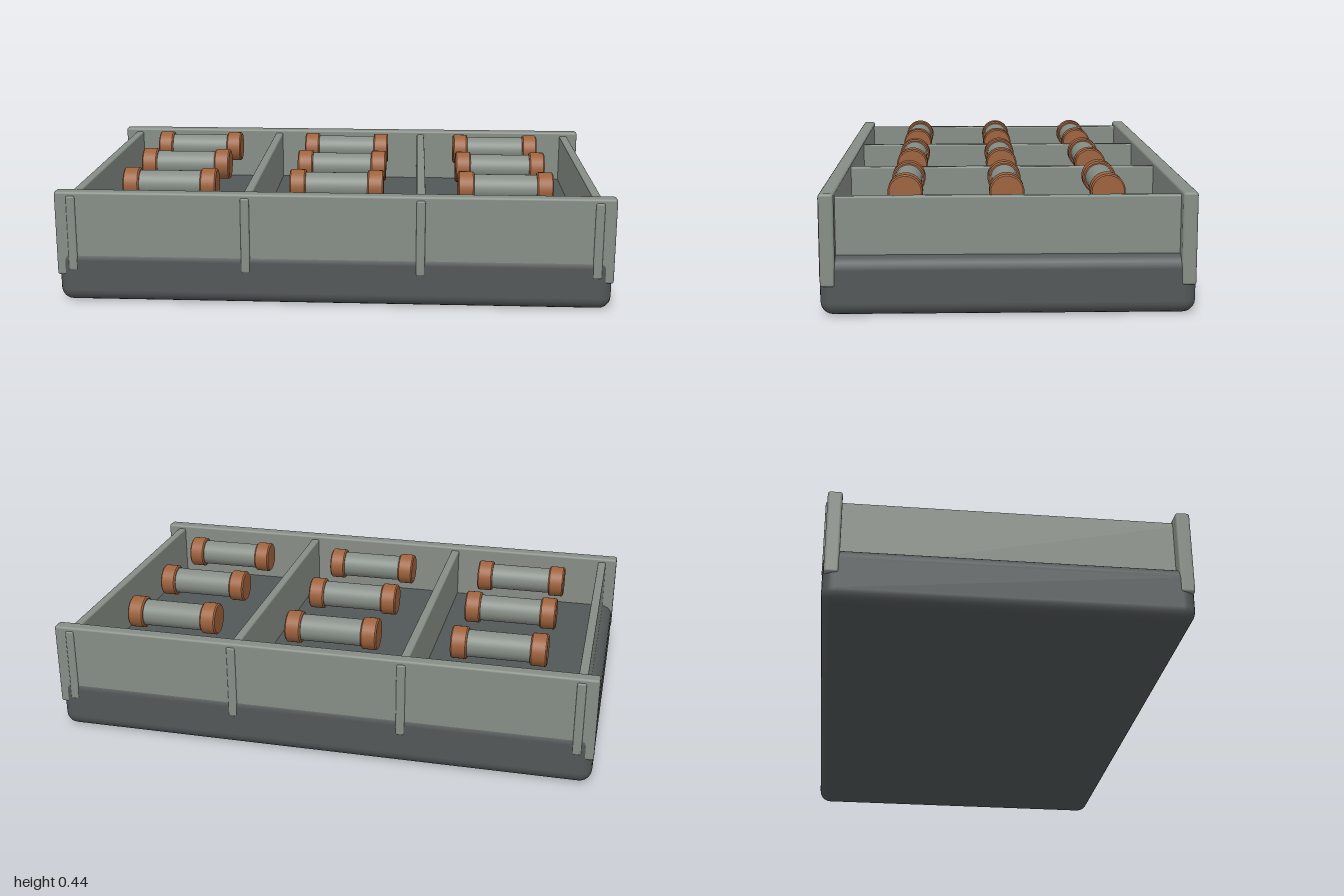
import * as THREE from 'three';
import { RoundedBoxGeometry } from 'three/addons/geometries/RoundedBoxGeometry.js';

const mat = (name, color) => {
  const m = new THREE.MeshStandardMaterial({ color });
  m.name = name;
  return m;
};

export function createModel() {
  const model = new THREE.Group();
  const darkGrey = mat('dark grey', 0x525757);
  const paleGrey = mat('pale grey', 0x868d86);
  const copper = mat('copper', 0x9e623d);

  const add = (parent, name, geometry, material, x, y, z) => {
    const mesh = new THREE.Mesh(geometry, material);
    mesh.name = name;
    mesh.position.set(x, y, z);
    parent.add(mesh);
    return mesh;
  };

  // Tray base with softened edges
  add(model, 'base', new RoundedBoxGeometry(1.994, 0.2, 1.244, 3, 0.045), darkGrey, 0, 0.1, 0);

  // Long front and back walls, overlapping the base
  const wall = new RoundedBoxGeometry(2, 0.31, 0.05, 2, 0.009);
  for (const s of [1, -1]) add(model, s > 0 ? 'frontWall' : 'backWall', wall, paleGrey, 0, 0.255, s * 0.593);

  // End panels and dividers, their ends showing as ribs on the long walls
  const divider = new RoundedBoxGeometry(0.032, 0.275, 1.248, 2, 0.006);
  for (const x of [-0.94, -0.3133, 0.3133, 0.94]) {
    add(model, Math.abs(x) > 0.5 ? 'endPanel' : 'divider', divider, paleGrey, x, 0.257, 0);
  }

  // Capped rods, three in each compartment
  const core = new THREE.CylinderGeometry(0.05, 0.05, 0.3, 32).rotateZ(Math.PI / 2);
  const r = 0.06, h = 0.03, b = 0.005;
  const capProfile = [[0, -h], [r - b, -h], [r, -h + b], [r, h - b], [r - b, h], [0, h]];
  const cap = new THREE.CylinderGeometry(r, r, h * 2 - b * 2, 32).rotateZ(Math.PI / 2);
  const capRim = new THREE.CylinderGeometry(r - b, r, b, 32).rotateZ(-Math.PI / 2);
  for (const x of [-0.625, 0, 0.625]) {
    for (const z of [-0.345, 0, 0.345]) {
      const rod = new THREE.Group();
      rod.name = 'rod';
      rod.position.set(x, 0.38, z);
      add(rod, 'rodCore', core, paleGrey, 0, 0, 0);
      for (const s of [1, -1]) {
        add(rod, 'rodCap', cap, copper, s * 0.145, 0, 0);
        // Bevelled rims on both faces of the cap
        for (const e of [1, -1]) {
          const rim = add(rod, 'rodCapRim', capRim, copper, s * 0.145 + e * (h - b / 2), 0, 0);
          if (e < 0) rim.rotation.y = Math.PI;
        }
      }
      model.add(rod);
    }
  }
  return model;
}
